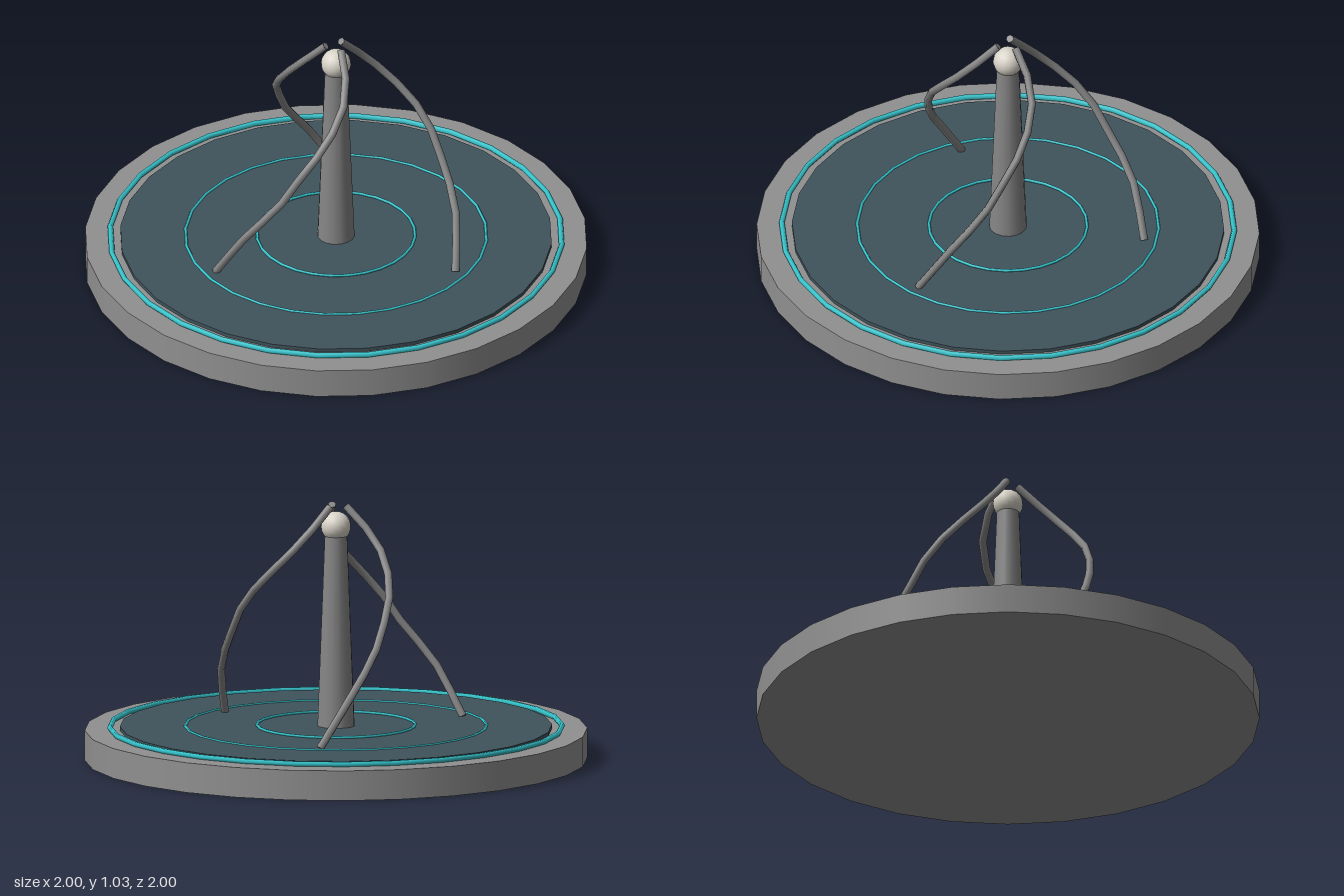
import * as THREE from 'three';

const material = (name, color) => {
  const m = new THREE.MeshStandardMaterial({ color });
  m.name = name;
  return m;
};

export function createModel() {
  const model = new THREE.Group();
  const stone = material('stone grey', 0x909090);
  const metal = material('metal grey', 0x868686);
  const water = material('deep water', 0x40535b);
  const teal = material('bright teal', 0x35c4cc);
  const pearl = material('pearl', 0xd8d3c8);
  const SIDES = 28;

  const add = (name, geometry, mat, y, parent = model) => {
    const mesh = new THREE.Mesh(geometry, mat);
    mesh.name = name;
    mesh.position.y = y;
    parent.add(mesh);
    return mesh;
  };

  // Round base and the pool set on it
  add('base', new THREE.CylinderGeometry(1, 1, 0.12, SIDES), stone, 0.06);
  add('pool', new THREE.CylinderGeometry(0.86, 0.86, 0.015, SIDES), water, 0.1275);

  // Rim ring and two ripple rings: radius, tube, height
  [
    ['rimRing', 0.9, 0.011, 0.13],
    ['outerRipple', 0.6, 0.006, 0.135],
    ['innerRipple', 0.315, 0.006, 0.139],
  ].forEach(([name, radius, tube, y]) => {
    add(name, new THREE.TorusGeometry(radius, tube, 6, SIDES).rotateX(Math.PI / 2), teal, y);
  });

  // Tapered central post with a ball on top
  add('post', new THREE.CylinderGeometry(0.045, 0.075, 0.78, 16), metal, 0.51);
  add('ball', new THREE.SphereGeometry(0.06, 16, 12), pearl, 0.938);

  // Three spiralling arms sweeping from the ball down to the pool
  const path = new THREE.CatmullRomCurve3([
    [0, 1.02, -0.04], [0.03, 0.93, -0.13], [0.09, 0.835, -0.2],
    [0.2, 0.72, -0.238], [0.285, 0.63, -0.233], [0.375, 0.49, -0.198],
    [0.48, 0.34, -0.12], [0.55, 0.135, 0],
  ].map((p) => new THREE.Vector3(...p)));
  const armGeometry = new THREE.TubeGeometry(path, 10, 0.016, 7);
  const capGeometry = new THREE.CircleGeometry(0.016, 7);

  for (let i = 0; i < 3; i++) {
    const arm = new THREE.Group();
    arm.name = `spiralArm${i + 1}`;
    arm.rotation.y = (i * Math.PI * 2) / 3;
    add('armTube', armGeometry, metal, 0, arm);
    // Close both ends of the tube
    [0, 1].forEach((t) => {
      const cap = add('armCap', capGeometry, metal, 0, arm);
      const outward = path.getTangentAt(t).multiplyScalar(t ? 1 : -1);
      cap.position.copy(path.getPointAt(t));
      cap.quaternion.setFromUnitVectors(new THREE.Vector3(0, 0, 1), outward);
    });
    model.add(arm);
  }

  return model;
}
